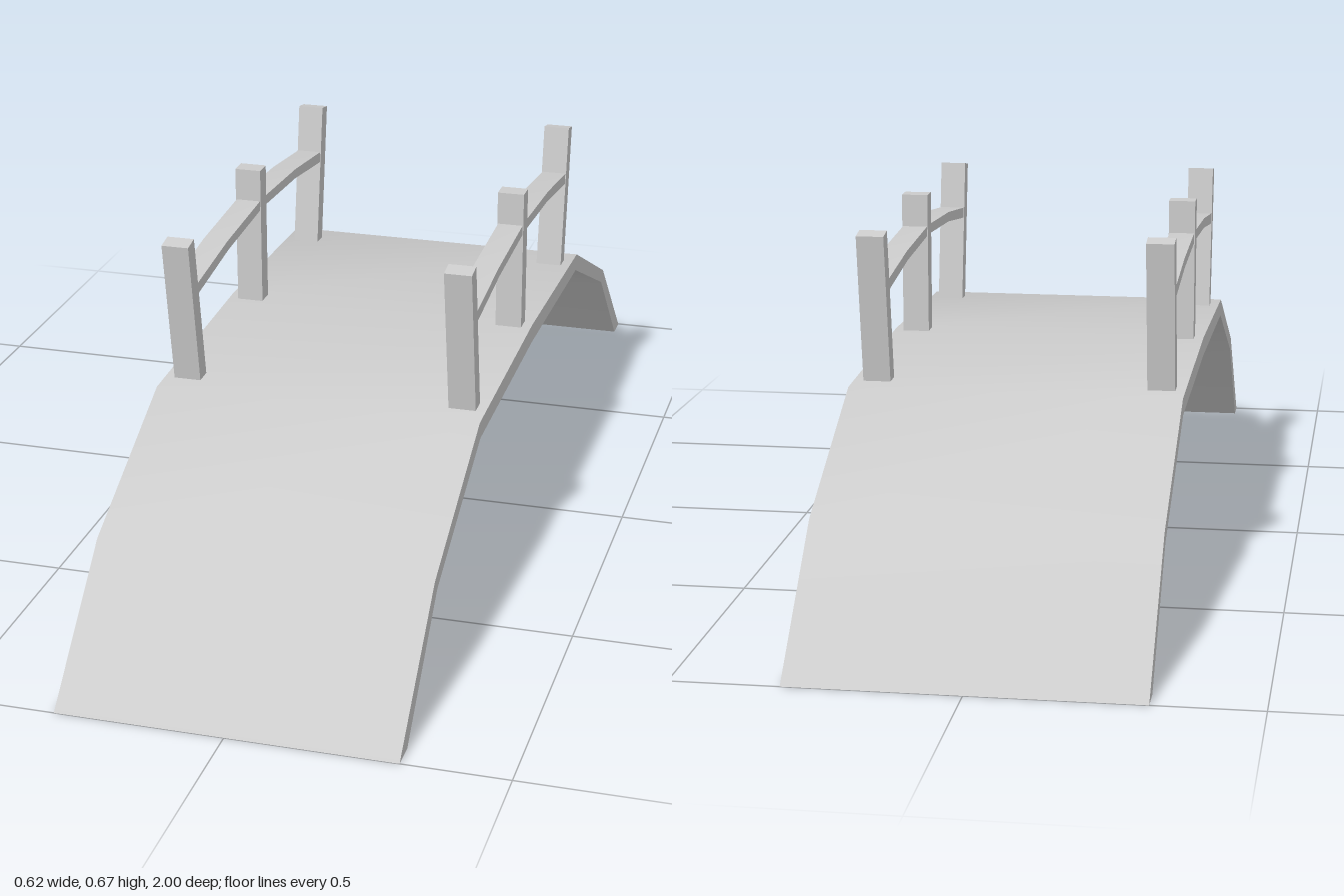
import * as THREE from 'three';
import { toCreasedNormals } from 'three/addons/utils/BufferGeometryUtils.js';

const material = new THREE.MeshStandardMaterial({ color: 0xcccccc });

// Closed side outline from half profiles given as [z, y], outer end first, middle last
function arcOutline(top, bottom) {
  const mirror = (pts) => [...pts, ...pts.slice(0, -1).reverse().map(([z, y]) => [-z, y])];
  return [...mirror(top), ...mirror(bottom).reverse()];
}

// Extrudes a [z, y] outline across x, centred on the given x
function sideExtrusion(name, outline, width, x = 0) {
  const shape = new THREE.Shape(outline.map(([z, y]) => new THREE.Vector2(z, y)));
  const geometry = new THREE.ExtrudeGeometry(shape, { depth: width, bevelEnabled: false });
  geometry.translate(0, 0, -width / 2).rotateY(-Math.PI / 2).translate(x, 0, 0);
  const mesh = new THREE.Mesh(toCreasedNormals(geometry, 0.6), material);
  mesh.name = name;
  return mesh;
}

export function createModel() {
  const bridge = new THREE.Group();
  bridge.name = 'footbridge';

  // Arched deck, smooth along its length
  bridge.add(sideExtrusion('deck', arcOutline(
    [[1, 0], [0.768, 0.222], [0.444, 0.378], [0, 0.393]],
    [[0.95, 0], [0.75, 0.2], [0.437, 0.345], [0, 0.357]]
  ), 0.616));

  for (const [side, x] of [['left', 0.264], ['right', -0.264]]) {
    const railing = new THREE.Group();
    railing.name = side + 'Railing';

    // Upright post in the middle
    railing.add(sideExtrusion('middlePost',
      [[-0.018, 0.385], [0.018, 0.385], [0.018, 0.666], [-0.018, 0.666]], 0.051, x));

    // End posts leaning outwards
    for (const [end, s] of [['front', 1], ['back', -1]]) {
      railing.add(sideExtrusion(end + 'Post',
        [[0.363, 0.372], [0.397, 0.372], [0.444, 0.659], [0.411, 0.665]]
          .map(([z, y]) => [s * z, y]), 0.051, x));
    }

    // Curved handrail between the posts
    railing.add(sideExtrusion('handrail', arcOutline(
      [[0.41, 0.57], [0.22, 0.592], [0, 0.604]],
      [[0.405, 0.549], [0.215, 0.573], [0, 0.585]]
    ), 0.048, x));

    bridge.add(railing);
  }
  return bridge;
}
